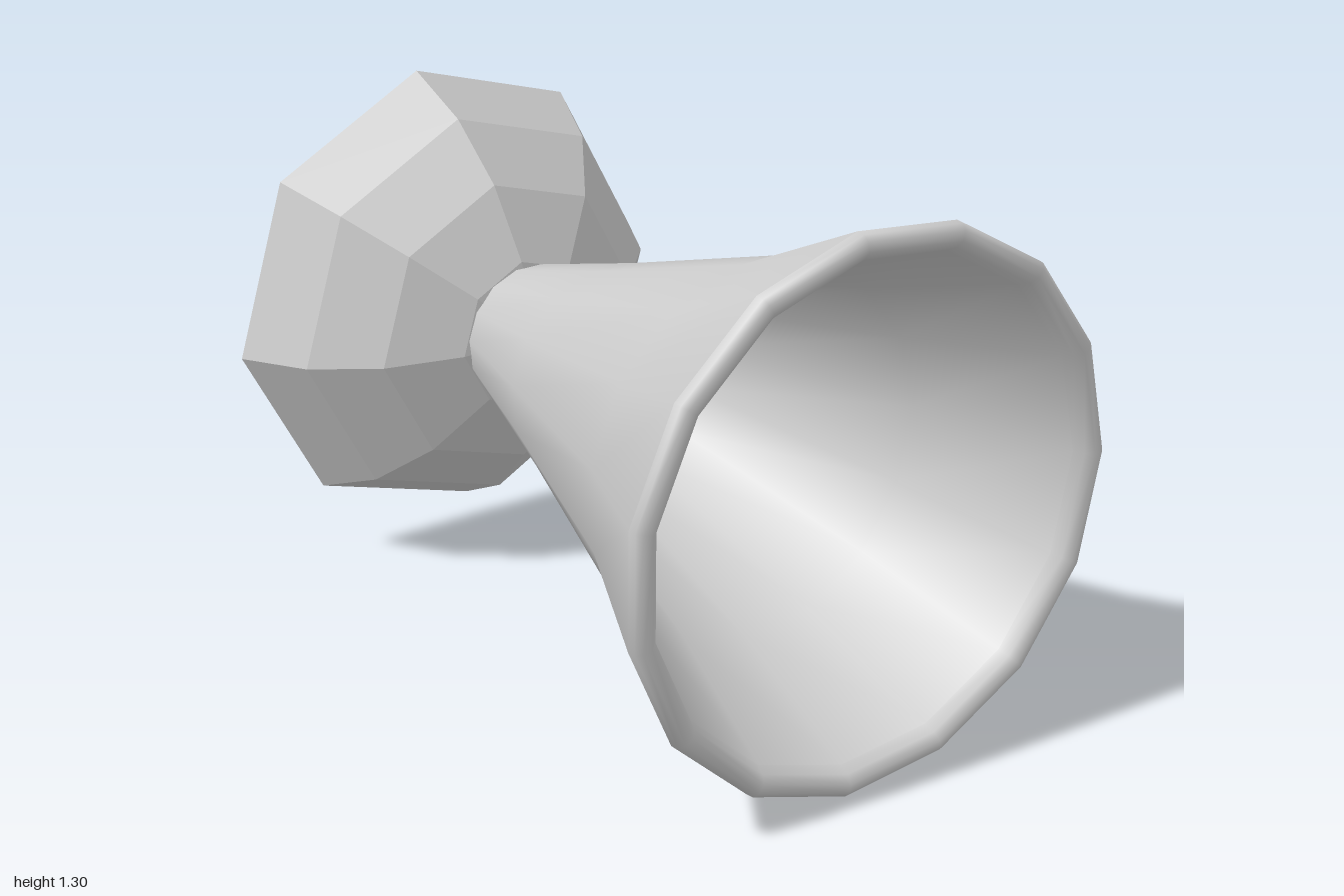
import * as THREE from 'three';

const AXIS_Y = 0.655;

// Revolve a list of [radius, z] points about the z axis.
function revolve(name, profile, sides, start = 0, options = {}) {
  const points = profile.map(([r, z]) => new THREE.Vector2(r, z));
  const geometry = new THREE.LatheGeometry(points, sides, start);
  geometry.rotateX(Math.PI / 2);
  const mesh = new THREE.Mesh(
    geometry,
    new THREE.MeshStandardMaterial({ color: 0xcccccc, ...options })
  );
  mesh.name = name;
  return mesh;
}

// Twist the horn slightly towards its mouth and let the mouth settle off-centre.
function twistMouth(mesh) {
  const p = mesh.geometry.attributes.position;
  for (let i = 0; i < p.count; i++) {
    const t = THREE.MathUtils.clamp((p.getZ(i) + 0.34) / 1.3, 0, 1);
    const a = THREE.MathUtils.degToRad(-6 * t);
    const x = p.getX(i), y = p.getY(i);
    p.setXY(
      i,
      x * Math.cos(a) - y * Math.sin(a) - 0.007 * t,
      x * Math.sin(a) + y * Math.cos(a) - 0.003 * t
    );
  }
  return mesh;
}

export function createModel() {
  const model = new THREE.Group();
  model.name = 'horn';
  const body = new THREE.Group();
  body.name = 'body';
  body.position.y = AXIS_Y;
  model.add(body);

  // Outer wall, from the mouthpiece to the flared mouth
  const outer = [[0.07, -1], [0.11, -0.735], [0.176, -0.34], [0.277, 0], [0.467, 0.58], [0.652, 0.965]];
  body.add(twistMouth(revolve('hornOuterWall', outer, 15)));

  // Rounded lip around the mouth
  const lip = [[0.652, 0.965], [0.65, 0.985], [0.637, 0.998], [0.615, 1], [0.597, 0.985], [0.585, 0.96]];
  body.add(twistMouth(revolve('mouthLip', lip, 15)));

  // Inner wall, back down to the mouthpiece
  const inner = [[0.585, 0.96], [0.44, 0.58], [0.26, 0], [0.166, -0.34], [0.09, -0.735], [0.047, -1]];
  body.add(twistMouth(revolve('hornInnerWall', inner, 15)));

  // Flat ring closing the wall at the mouthpiece
  body.add(revolve('mouthpieceRing', [[0.047, -1], [0.07, -1]], 15));

  // Thin faceted bowl, open to the back, with its cap blocking the bore
  const bowl = [[0.587, -0.738], [0.503, -0.565], [0.366, -0.43], [0.19, -0.342], [0, -0.31]];
  body.add(revolve('bowl', bowl, 8, THREE.MathUtils.degToRad(96), {
    flatShading: true,
    side: THREE.DoubleSide,
  }));

  return model;
}
